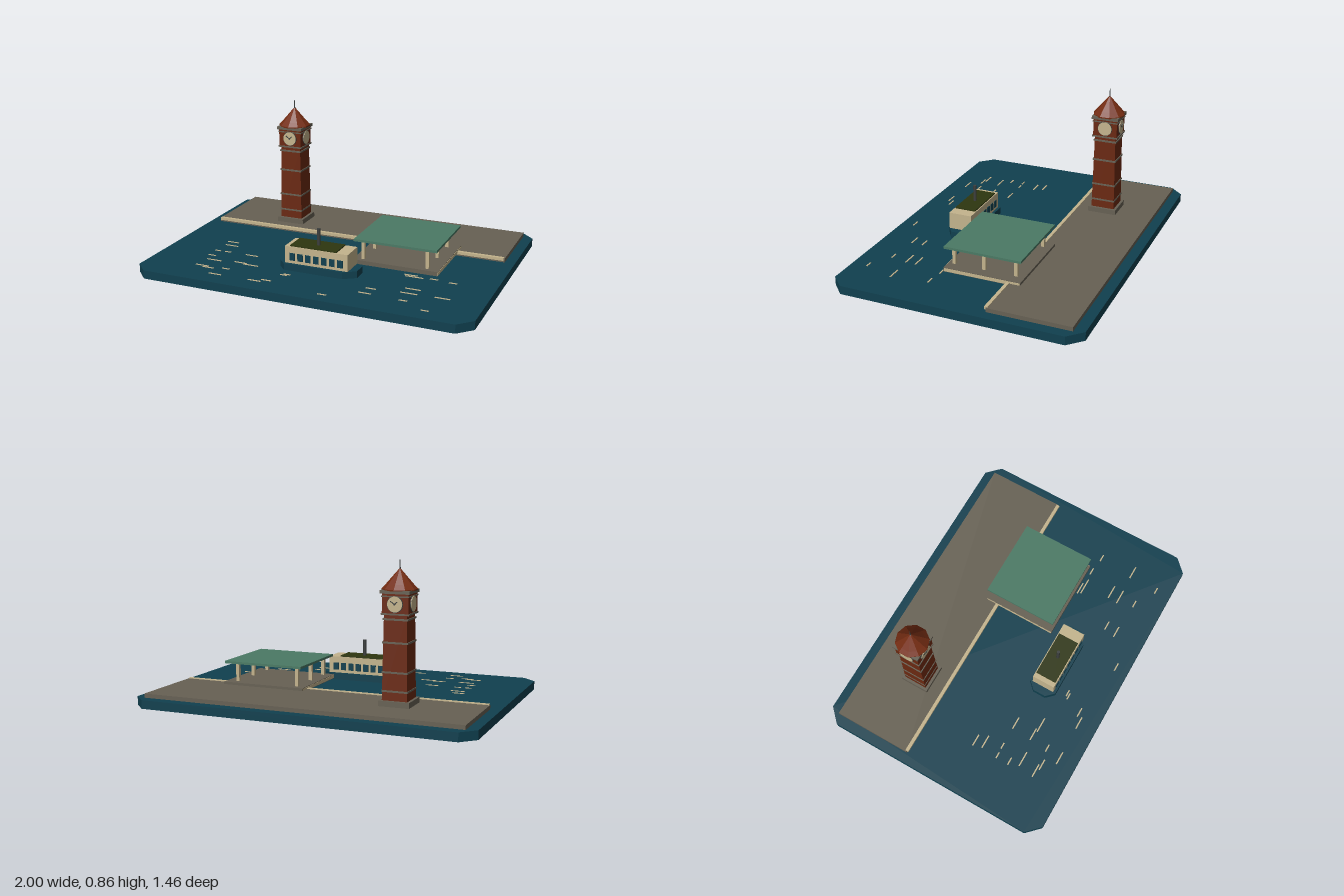
import * as THREE from 'three';

const mat = (name, color) => {
  const m = new THREE.MeshStandardMaterial({ color });
  m.name = name;
  return m;
};

export function createModel() {
  const water = mat('water teal', 0x10404f);
  const stone = mat('stone grey', 0x676154);
  const cream = mat('cream', 0xc4b48d);
  const brick = mat('brick red', 0x6a2810);
  const roofRed = mat('roof red', 0x742c12);
  const green = mat('copper green', 0x4b7a65);
  const olive = mat('olive', 0x2e360f);
  const iron = mat('iron grey', 0x3d403f);

  const model = new THREE.Group();
  model.name = 'harbour';
  const group = (name, x = 0, y = 0, z = 0) => {
    const g = new THREE.Group();
    g.name = name;
    g.position.set(x, y, z);
    model.add(g);
    return g;
  };
  const add = (parent, name, geometry, material, x = 0, y = 0, z = 0) => {
    const mesh = new THREE.Mesh(geometry, material);
    mesh.name = name;
    mesh.position.set(x, y, z);
    parent.add(mesh);
    return mesh;
  };
  // Box given by its width, depth and bottom/top heights
  const box = (parent, name, material, w, d, y0, y1, x = 0, z = 0) =>
    add(parent, name, new THREE.BoxGeometry(w, y1 - y0, d), material, x, (y0 + y1) / 2, z);
  // Flat plan outline raised to a height
  const slab = (points, height) => {
    const shape = new THREE.Shape(points.map(([x, z]) => new THREE.Vector2(x, -z)));
    return new THREE.ExtrudeGeometry(shape, { depth: height, bevelEnabled: false }).rotateX(-Math.PI / 2);
  };

  // Water base with cut corners
  const X = 1, Z = 0.73, C = 0.08;
  add(model, 'waterBase', slab([
    [-X, Z - C], [-X + C, Z], [X - C, Z], [X, Z - C],
    [X, -Z + C], [X - C, -Z], [-X + C, -Z], [-X, -Z + C],
  ], 0.05), water);

  // Quay and its pale edge
  box(model, 'quay', stone, 1.88, 0.48, 0.05, 0.074, 0, -0.43);
  box(model, 'quayEdge', cream, 1.87, 0.02, 0.062, 0.079, 0, -0.19);

  // Clock tower
  const tower = group('clockTower', -0.48, 0, -0.362);
  box(tower, 'plinth', stone, 0.176, 0.176, 0.074, 0.105);
  const shaft = new THREE.CylinderGeometry(0.065 * Math.SQRT2, 0.072 * Math.SQRT2, 0.465, 4)
    .rotateY(Math.PI / 4).toNonIndexed();
  shaft.computeVertexNormals();
  add(tower, 'shaft', shaft, brick, 0, 0.3375, 0);
  for (const [y, w] of [[0.156, 0.148], [0.258, 0.147], [0.418, 0.145], [0.543, 0.143]])
    box(tower, 'shaftBand', stone, w, w, y - 0.005, y + 0.005);
  box(tower, 'clockChamber', brick, 0.148, 0.148, 0.565, 0.682);
  box(tower, 'lowerCornice', stone, 0.158, 0.158, 0.567, 0.576);
  box(tower, 'upperBand', stone, 0.156, 0.156, 0.662, 0.669);
  box(tower, 'upperCornice', stone, 0.166, 0.166, 0.68, 0.698);

  // Four dials; hands on the front and back ones
  for (let i = 0; i < 4; i++) {
    const dial = new THREE.Group();
    dial.name = 'clockDial';
    dial.rotation.y = i * Math.PI / 2;
    dial.position.y = 0.625;
    tower.add(dial);
    const disc = (name, r, depth, material, z) =>
      add(dial, name, new THREE.CylinderGeometry(r, r, depth, 24).rotateX(Math.PI / 2), material, 0, 0, z);
    disc('dialRim', 0.045, 0.004, iron, 0.076);
    disc('dialFace', 0.042, 0.006, cream, 0.078);
    if (i % 2 === 0) {
      for (const [len, angle] of [[0.03, 0.95], [0.02, -0.8]]) {
        const hand = new THREE.BoxGeometry(0.005, len, 0.003).translate(0, len / 2, 0).rotateZ(angle);
        add(dial, 'clockHand', hand, iron, 0, 0, 0.082);
      }
      disc('handHub', 0.005, 0.004, iron, 0.082);
    }
  }

  // Flared roof with spike
  const roof = new THREE.LatheGeometry(
    [[0, 0.695], [0.097, 0.695], [0.097, 0.702], [0.074, 0.727], [0.006, 0.806], [0, 0.81]]
      .map(([r, y]) => new THREE.Vector2(r, y)), 10).toNonIndexed();
  roof.computeVertexNormals();
  add(tower, 'towerRoof', roof, roofRed);
  add(tower, 'spike', new THREE.CylinderGeometry(0.002, 0.005, 0.06, 8), iron, 0, 0.825, 0);

  // Ferry shelter on a pier
  const pier = group('pier', 0.4, 0, -0.033);
  box(pier, 'pierDeck', stone, 0.512, 0.46, 0.064, 0.089);
  for (const s of [-1, 1])
    box(pier, 'deckTrim', cream, 0.003, 0.455, 0.067, 0.086, s * 0.2565);
  for (const x of [-0.2, 0.186])
    for (const z of [-0.178, 0.013, 0.195])
      box(pier, 'post', cream, 0.02, 0.02, 0.089, 0.2, x, z);
  box(pier, 'shelterRoof', green, 0.496, 0.46, 0.2, 0.214);

  // Ferry boat: pointed hull, cabin, windows, roof and funnel
  const boat = group('ferry', 0, 0, 0.322);
  add(boat, 'hull', slab([
    [-0.235, -0.04], [-0.235, 0.04], [-0.19, 0.087], [0.17, 0.087],
    [0.24, 0.04], [0.24, -0.04], [0.17, -0.087], [-0.19, -0.087],
  ], 0.04), water, 0, 0.05, 0);
  box(boat, 'cabin', cream, 0.385, 0.142, 0.09, 0.19, 0.004);
  for (const s of [-1, 1])
    for (let i = 0; i < 7; i++)
      box(boat, 'window', water, 0.033, 0.005, 0.108, 0.152, 0.004 + (i - 3) * 0.049, s * 0.072);
  box(boat, 'cabinRoof', olive, 0.285, 0.13, 0.19, 0.197, -0.016);
  add(boat, 'funnel', new THREE.CylinderGeometry(0.01, 0.01, 0.1, 12), iron, -0.01, 0.246, 0);

  // Glints on the water: x, z, length
  const glints = [
    [-0.67, 0.13, 0.075], [-0.65, 0.185, 0.085], [-0.685, 0.29, 0.04], [-0.62, 0.287, 0.04],
    [-0.46, 0.287, 0.08], [-0.68, 0.37, 0.05], [-0.63, 0.433, 0.095], [-0.467, 0.412, 0.08],
    [-0.395, 0.425, 0.095], [-0.652, 0.532, 0.085], [-0.603, 0.548, 0.07], [-0.5, 0.527, 0.048],
    [-0.517, 0.62, 0.08], [-0.27, 0.618, 0.08], [-0.21, 0.59, 0.06], [-0.155, 0.484, 0.043],
    [-0.14, 0.47, 0.043], [0.155, 0.65, 0.053], [0.505, 0.208, 0.08], [0.53, 0.227, 0.107],
    [0.643, 0.217, 0.048], [0.757, 0.23, 0.048], [0.58, 0.393, 0.09], [0.577, 0.455, 0.096],
    [0.765, 0.449, 0.085], [0.366, 0.473, 0.06], [0.358, 0.543, 0.075], [0.58, 0.556, 0.048],
    [0.727, 0.634, 0.043],
  ];
  const ripples = group('glints');
  for (const [x, z, len] of glints)
    box(ripples, 'glint', cream, len, 0.008, 0.049, 0.053, x, z);

  return model;
}
